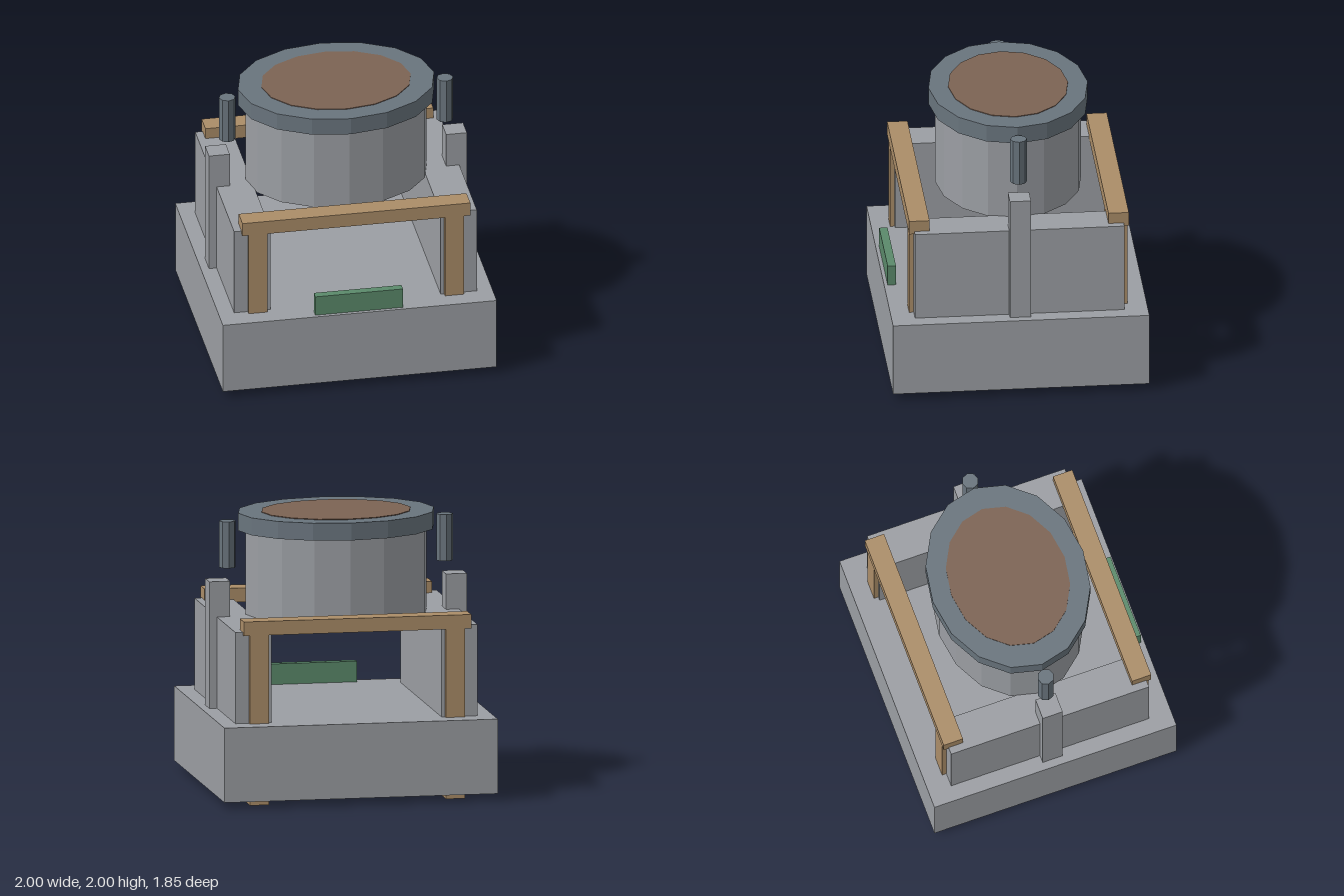
import * as THREE from 'three';

const material = (name, color) => {
  const m = new THREE.MeshStandardMaterial({ color });
  m.name = name;
  return m;
};

export function createModel() {
  const model = new THREE.Group();
  model.name = 'raisedDrumOnStand';
  const stone = material('stoneGrey', 0x9b9ea3);
  const wood = material('paleWood', 0xab8d68);
  const steel = material('blueGrey', 0x69747d);
  const brown = material('brown', 0x7c6353);
  const green = material('green', 0x5b8a6b);

  const add = (name, geometry, mat) => {
    const mesh = new THREE.Mesh(geometry, mat);
    mesh.name = name;
    model.add(mesh);
    return mesh;
  };

  // Box given by its extents on each axis
  const box = (name, mat, [x0, x1], [y0, y1], [z0, z1]) =>
    add(name, new THREE.BoxGeometry(x1 - x0, y1 - y0, z1 - z0), mat)
      .position.set((x0 + x1) / 2, (y0 + y1) / 2, (z0 + z1) / 2);

  // Faceted upright cylinder with an elliptical plan
  const drum = (name, mat, rx, rz, y0, y1, sides, x = 0) => {
    const g = new THREE.CylinderGeometry(1, 1, y1 - y0, sides).scale(rx, 1, rz).toNonIndexed();
    g.computeVertexNormals();
    add(name, g, mat).position.set(x, (y0 + y1) / 2, 0);
  };

  // Base slab and front plate
  box('base', stone, [-1, 1], [0.05, 0.593], [-0.924, 0.924]);
  box('frontPlate', green, [-0.32, 0.32], [0.593, 0.743], [0.838, 0.898]);

  // Side walls, posts and pins
  for (const s of [-1, 1]) {
    const side = s > 0 ? 'left' : 'right';
    const span = (a, b) => (s > 0 ? [a, b] : [-b, -a]);
    box(side + 'Wall', stone, span(0.622, 0.886), [0.593, 1.257], [-0.755, 0.755]);
    box(side + 'Post', stone, span(0.79, 0.942), [0.593, 1.515], [-0.076, 0.076]);
    drum(side + 'Pin', steel, 0.06, 0.06, 1.605, 1.943, 8, s * 0.795);
  }

  // Timber frames at front and back, with legs running down to the feet
  for (const s of [-1, 1]) {
    const end = s > 0 ? 'front' : 'back';
    const depth = (a, b) => (s > 0 ? [a, b] : [-b, -a]);
    box(end + 'Beam', wood, [-0.832, 0.832], [1.236, 1.338], depth(0.645, 0.792));
    box(end + 'LeftLeg', wood, [0.648, 0.786], [0, 1.24], depth(0.65, 0.788));
    box(end + 'RightLeg', wood, [-0.786, -0.648], [0, 1.24], depth(0.65, 0.788));
  }

  // Drum, rim and top inlay
  drum('drumBody', stone, 0.662, 0.527, 1.25, 1.88, 16);
  drum('drumRim', steel, 0.716, 0.574, 1.868, 1.995, 16);
  drum('topInlay', brown, 0.545, 0.432, 1.992, 2, 16);

  return model;
}
